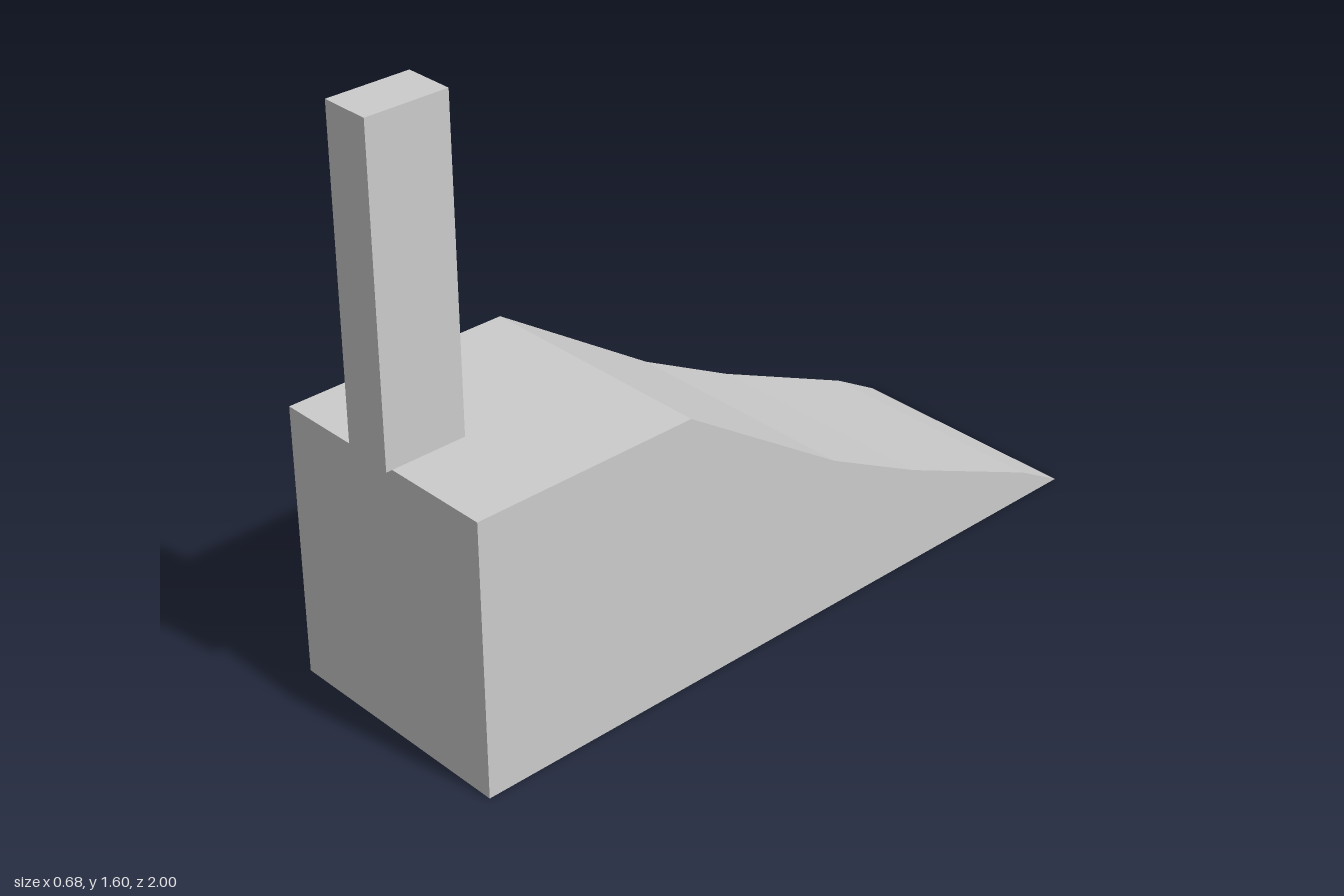
import * as THREE from 'three';

export function createModel() {
  const model = new THREE.Group();
  const grey = new THREE.MeshStandardMaterial({ color: 0xcccccc });
  grey.name = 'lightGrey';

  // Ramp block: side profile as (z, y), extruded across the width
  const width = 0.675;
  const profile = [
    [0.975, 0], [0.975, 0.738], [0.348, 0.738], [-0.13, 0.425],
    [-0.42, 0.275], [-0.86, 0.08], [-1, 0],
  ];
  const shape = new THREE.Shape(profile.map(([z, y]) => new THREE.Vector2(z, y)));
  const rampGeometry = new THREE.ExtrudeGeometry(shape, { depth: width, bevelEnabled: false });
  rampGeometry.translate(0, 0, -width / 2).rotateY(-Math.PI / 2);
  const ramp = new THREE.Mesh(rampGeometry, grey);
  ramp.name = 'rampBlock';
  model.add(ramp);

  // Upright post, hovering just above the platform and overhanging its front edge
  const post = new THREE.Mesh(new THREE.BoxGeometry(0.132, 0.85, 0.222), grey);
  post.name = 'post';
  post.position.set(-0.01, 1.172, 0.889);
  model.add(post);

  return model;
}
